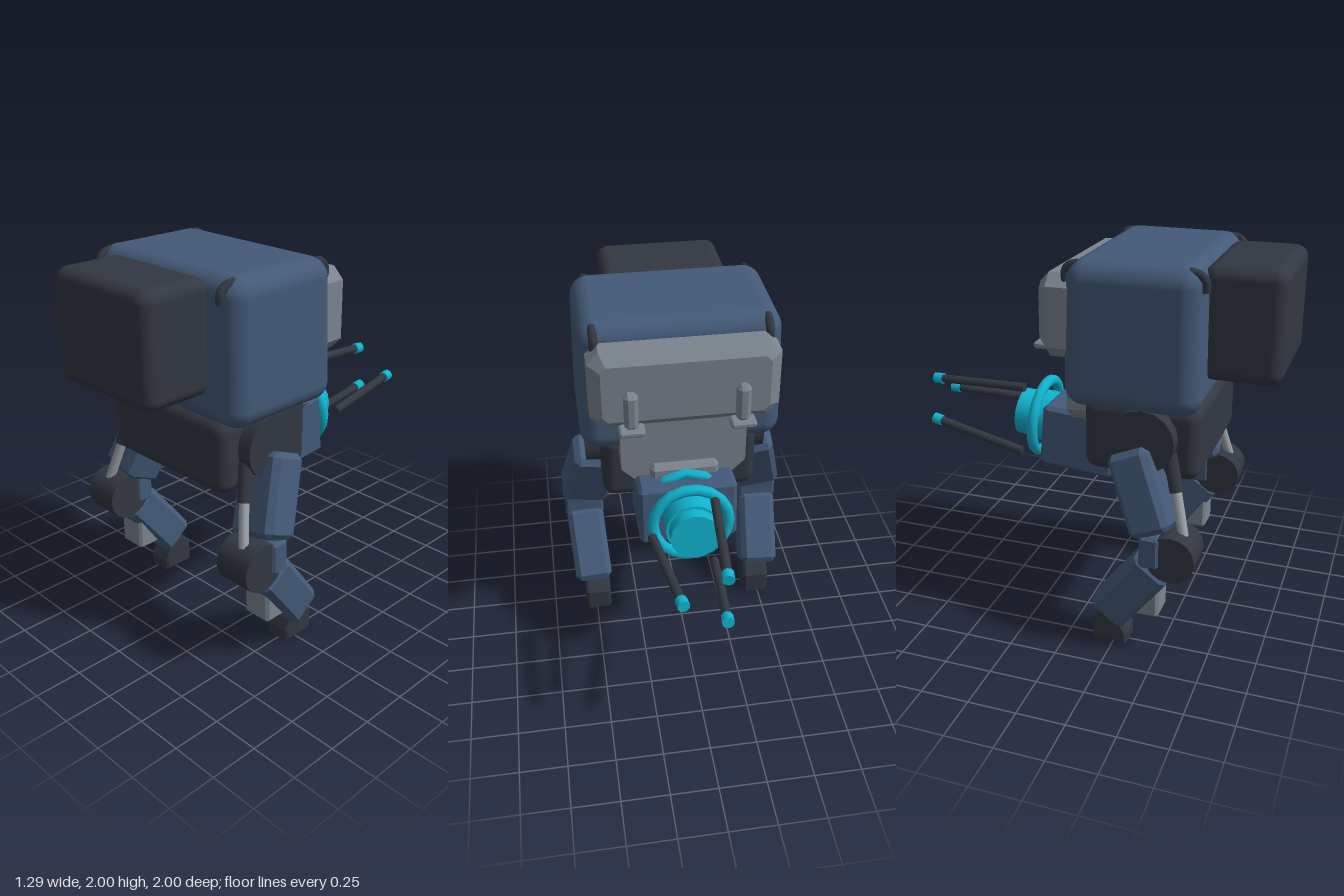
import * as THREE from 'three';
import { RoundedBoxGeometry } from 'three/addons/geometries/RoundedBoxGeometry.js';
import { ConvexGeometry } from 'three/addons/geometries/ConvexGeometry.js';

const paint = (name, color) => {
  const m = new THREE.MeshStandardMaterial({ color });
  m.name = name;
  return m;
};

export function createModel() {
  const blue = paint('steelBlue', 0x435a78);
  const dark = paint('charcoal', 0x323741);
  const grey = paint('armourGrey', 0x7b858f);
  const silver = paint('silver', 0x9aa2aa);
  const cyan = paint('cyan', 0x10b4d0);

  const model = new THREE.Group();
  model.name = 'walker';

  const add = (parent, name, geometry, material, x = 0, y = 0, z = 0, rx = 0, rz = 0) => {
    const mesh = new THREE.Mesh(geometry, material);
    mesh.name = name;
    mesh.position.set(x, y, z);
    mesh.rotation.set(rx, 0, rz);
    parent.add(mesh);
    return mesh;
  };

  // Box with every edge cut at an angle
  const chamferBox = (w, h, d, c) => {
    const pts = [];
    for (const i of [-1, 1]) for (const j of [-1, 1]) for (const k of [-1, 1]) {
      for (const axis of [0, 1, 2]) {
        const cut = [c, c, c];
        cut[axis] = 0;
        pts.push(new THREE.Vector3(i * (w / 2 - cut[0]), j * (h / 2 - cut[1]), k * (d / 2 - cut[2])));
      }
    }
    return new ConvexGeometry(pts);
  };

  // Solid through octagonal sections, each [half width, half height, corner cut, z]
  const octagonLoft = (sections) => {
    const pts = [];
    for (const [w, h, c, z] of sections) for (const i of [-1, 1]) for (const j of [-1, 1]) {
      pts.push(new THREE.Vector3(i * w, j * (h - c), z), new THREE.Vector3(i * (w - c), j * h, z));
    }
    return new ConvexGeometry(pts);
  };

  // Round bar between two points
  const bar = (parent, name, a, b, radius, material, sides = 10) => {
    const from = new THREE.Vector3(...a), to = new THREE.Vector3(...b);
    const dir = to.clone().sub(from);
    const mesh = add(parent, name, new THREE.CylinderGeometry(radius, radius, dir.length(), sides), material);
    mesh.position.copy(from).lerp(to, 0.5);
    mesh.quaternion.setFromUnitVectors(new THREE.Vector3(0, 1, 0), dir.normalize());
  };

  // Main body, a little narrower towards the top
  const hull = new RoundedBoxGeometry(1.06, 0.725, 0.69, 5, 0.1);
  const p = hull.attributes.position;
  for (let i = 0; i < p.count; i++) {
    const k = 1 - 0.035 * (p.getY(i) / 0.725 + 0.5);
    p.setX(i, p.getX(i) * k);
    p.setZ(i, p.getZ(i) * k);
  }
  hull.computeVertexNormals;
  add(model, 'body', hull, blue, 0, 1.637, 0.303);
  add(model, 'frontPod', new RoundedBoxGeometry(0.675, 0.565, 0.4, 4, 0.065), dark, 0, 1.703, 0.8);
  add(model, 'pelvis', new RoundedBoxGeometry(0.84, 0.385, 0.6, 4, 0.065), dark, 0, 1.105, 0.34);

  // Lifting hooks bent over the four top corners
  for (const s of [-1, 1]) for (const [zIn, zOut] of [[0.565, 0.645], [0.035, -0.035]]) {
    const path = new THREE.CatmullRomCurve3([
      new THREE.Vector3(s * 0.435, 1.975, zIn),
      new THREE.Vector3(s * 0.435, 1.965, zIn * 0.4 + zOut * 0.6),
      new THREE.Vector3(s * 0.435, 1.935, zOut),
      new THREE.Vector3(s * 0.435, 1.885, zOut),
    ]);
    add(model, 'hook', new THREE.TubeGeometry(path, 10, 0.022, 8), dark);
  }

  // Rear armour and its two brackets
  add(model, 'rearArmour', octagonLoft([[0.48, 0.21, 0.06, -0.01], [0.48, 0.21, 0.06, -0.125], [0.42, 0.155, 0.03, -0.18]]),
    grey, 0, 1.71, 0);
  for (const s of [-1, 1]) {
    add(model, 'bracketLedge', chamferBox(0.13, 0.035, 0.09, 0.01), grey, s * 0.28, 1.517, -0.205);
    add(model, 'bracketPost', chamferBox(0.07, 0.2, 0.07, 0.02), grey, s * 0.28, 1.63, -0.2);
  }
  add(model, 'neckPlate', octagonLoft([[0.33, 0.23, 0.11, 0.03], [0.33, 0.23, 0.11, -0.08]]), grey, 0, 1.31, 0);
  add(model, 'neckBlock', chamferBox(0.36, 0.08, 0.08, 0.02), grey, 0, 1.175, -0.09);

  // Tilted sensor head
  const head = new THREE.Group();
  head.name = 'sensorHead';
  head.position.set(0, 0.975, -0.053);
  head.rotation.x = 0.085;
  model.add(head);
  add(head, 'headCase', chamferBox(0.52, 0.335, 0.41, 0.02), blue);
  add(head, 'innerRing', new THREE.TorusGeometry(0.195, 0.03, 6, 12), cyan, 0, 0, -0.11);
  add(head, 'outerRing', new THREE.TorusGeometry(0.2, 0.03, 8, 18), cyan, 0, 0, -0.28);
  add(head, 'lensBase', new THREE.CylinderGeometry(0.142, 0.142, 0.16, 16), cyan, 0, 0, -0.265, Math.PI / 2);
  add(head, 'lens', new THREE.CylinderGeometry(0.128, 0.128, 0.22, 16), cyan, 0, 0, -0.305, Math.PI / 2);

  // Three converging probes with bright tips
  for (let i = 0; i < 3; i++) {
    const a = i * Math.PI * 2 / 3, c = Math.cos(a), s = Math.sin(a);
    const start = new THREE.Vector3(0.215 * c, 1.0 + 0.19 * s / 0.866, -0.42 + 0.015 * s);
    const end = new THREE.Vector3(0.14 * c, 1.045 + 0.123 * s / 0.866, -0.982 + 0.015 * s);
    const neck = start.clone().lerp(end, 0.91);
    bar(model, 'probe', start.toArray(), neck.toArray(), 0.024, dark);
    bar(model, 'probeTip', neck.toArray(), end.toArray(), 0.031, cyan);
  }

  // Foot side outline, drawn as [z, y]
  const footShape = new THREE.Shape([[0.31, 0.015], [0.31, 0.06], [0.285, 0.11], [0.265, 0.16], [0.2, 0.185], [0.15, 0.12],
    [0.15, 0.015]].map(([z, y]) => new THREE.Vector2(-z, y)));
  const footGeometry = new THREE.ExtrudeGeometry(footShape,
    { depth: 0.12, bevelSize: 0.012, bevelThickness: 0.014, bevelSegments: 1 });
  footGeometry.translate(0, 0, -0.06);
  footGeometry.rotateY(Math.PI / 2);

  for (const s of [-1, 1]) {
    const leg = new THREE.Group();
    leg.name = s > 0 ? 'leftLeg' : 'rightLeg';
    model.add(leg);
    add(leg, 'hipJoint', new THREE.CylinderGeometry(0.165, 0.165, 0.14, 16), dark, s * 0.43, 1.135, 0.37, 0, Math.PI / 2);
    add(leg, 'thigh', chamferBox(0.265, 0.43, 0.215, 0.03), blue, s * 0.475, 0.875, 0.39, -0.4, s * 0.22);
    add(leg, 'kneeJoint', new THREE.CylinderGeometry(0.125, 0.125, 0.205, 16), dark, s * 0.523, 0.583, 0.56, 0, Math.PI / 2);
    add(leg, 'kneeLink', chamferBox(0.225, 0.175, 0.105, 0.015), blue, s * 0.525, 0.607, 0.455);
    add(leg, 'shin', chamferBox(0.215, 0.435, 0.21, 0.03), blue, s * 0.515, 0.345, 0.345, 0.65, -s * 0.05);
    add(leg, 'shinGuard', chamferBox(0.165, 0.19, 0.14, 0.015), grey, s * 0.507, 0.31, 0.43);
    add(leg, 'foot', footGeometry, dark, s * 0.487, -0.003, 0);
    // Hydraulic piston ahead of the thigh
    bar(leg, 'pistonSleeve', [s * 0.44, 1.07, 0.5], [s * 0.478, 0.89, 0.55], 0.036, dark);
    bar(leg, 'pistonRod', [s * 0.478, 0.89, 0.55], [s * 0.53, 0.68, 0.605], 0.026, silver);
  }
  return model;
}
